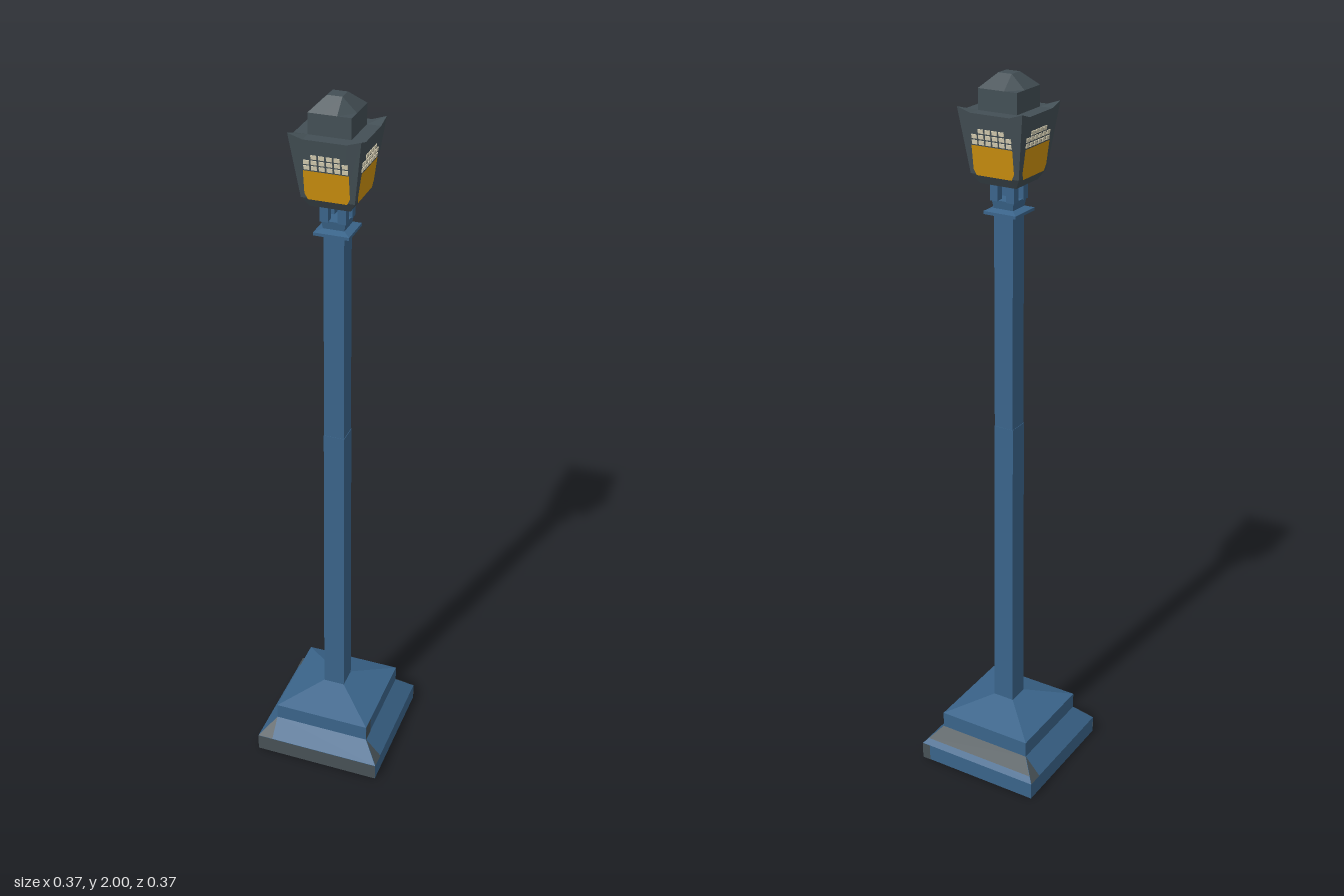
import * as THREE from 'three';

const mat = (name, color) => {
  const m = new THREE.MeshStandardMaterial({ color, flatShading: true, side: THREE.DoubleSide });
  m.name = name;
  return m;
};

export function createModel() {
  const blue = mat('blue paint', 0x3a648a);
  const worn = mat('worn metal', 0x475156);
  const dark = mat('dark iron', 0x434f55);
  const amber = mat('amber glass', 0xcf920f);
  const pale = mat('pale glass', 0xd8d0b4);

  const root = new THREE.Group();
  const add = (name, geometry, material, parent = root) => {
    const mesh = new THREE.Mesh(geometry, material);
    mesh.name = name;
    parent.add(mesh);
    return mesh;
  };
  const sideGroup = (name, angle, parent = root) => {
    const g = new THREE.Group();
    g.name = name;
    g.rotation.y = angle;
    parent.add(g);
    return g;
  };
  // Square stack from [half width, y] pairs, bottom to top
  const square = (profile) => new THREE.LatheGeometry(
    profile.map(([h, y]) => new THREE.Vector2(h * Math.SQRT2, y)), 4, Math.PI / 4);
  // Flat convex polygon from corners in order
  const polygon = (corners) => {
    const index = [];
    for (let i = 1; i < corners.length - 1; i++) index.push(0, i, i + 1);
    const g = new THREE.BufferGeometry();
    g.setAttribute('position', new THREE.Float32BufferAttribute(corners.flat(), 3));
    g.setIndex(index);
    g.computeVertexNormals();
    return g;
  };
  // Three by three cell sheet; place(column, row) returns each point
  const sheet = (rows, place) => {
    const g = new THREE.PlaneGeometry(1, 1, 3, rows - 1);
    for (let r = 0; r < rows; r++)
      for (let c = 0; c < 4; c++) g.attributes.position.setXYZ(r * 4 + c, ...place(c, r));
    g.computeVertexNormals();
    return g;
  };

  // Stepped base and tapering post
  add('base', square([[0, 0], [0.185, 0], [0.185, 0.05], [0.14, 0.1], [0.14, 0.147], [0.03, 0.19]]), blue);
  add('post', square([[0.031, 0.18], [0.029, 1.06], [0.028, 1.06], [0.0275, 1.655], [0, 1.655]]), blue);

  // Worn patches on the base
  const e = 0.001;
  const slopePatch = (points) => polygon(points.map(([x, y, z]) => [x, y + e, z + e]));
  const rectPatch = (x0, x1, y0, y1, z) =>
    polygon([[x0, y0, z + e], [x1, y0, z + e], [x1, y1, z + e], [x0, y1, z + e]]);
  const front = sideGroup('frontWear', 0);
  const right = sideGroup('leftSideWear', Math.PI / 2);
  const back = sideGroup('backWear', Math.PI);
  const left = sideGroup('rightSideWear', -Math.PI / 2);
  add('wornFrontFace', rectPatch(-0.185, 0.185, 0, 0.05, 0.185), worn, front);
  for (const g of [front, right, left])
    add('wornCorner', slopePatch([[-0.185, 0.05, 0.185], [-0.14, 0.05, 0.185], [-0.14, 0.1, 0.14]]), worn, g);
  add('wornStep', rectPatch(-0.14, -0.1, 0.1, 0.147, 0.14), worn, right);
  add('wornSlope', slopePatch([[-0.172, 0.064, 0.172], [0.172, 0.064, 0.172], [0.14, 0.1, 0.14], [-0.14, 0.1, 0.14]]), worn, back);
  add('wornEnd', rectPatch(-0.185, -0.16, 0, 0.05, 0.185), worn, back);

  // Collar and the four short struts carrying the lantern
  add('collar', square([[0, 1.65], [0.047, 1.65], [0.047, 1.658], [0.028, 1.664], [0.032, 1.686], [0, 1.686]]), blue);
  for (const x of [-1, 1])
    for (const z of [-1, 1])
      add('strut', new THREE.BoxGeometry(0.022, 0.05, 0.022), blue).position.set(x * 0.0235, 1.709, z * 0.0235);

  // Lantern body with upturned corners
  const lantern = new THREE.Group();
  lantern.name = 'lantern';
  root.add(lantern);
  add('lanternBottom', square([[0, 1.73], [0.052, 1.73], [0.069, 1.757]]), dark, lantern);
  const rim = [-0.092, -0.055, 0.055, 0.092];
  const foot = [-0.069, -0.041, 0.041, 0.069];
  const isEnd = (i) => i === 0 || i === 3;
  const tilt = Math.atan2(0.022, 0.157);
  for (let i = 0; i < 4; i++) {
    const side = sideGroup('lanternSide', i * Math.PI / 2, lantern);
    add('sidePanel', sheet(2, (c, r) => r === 0
      ? [rim[c], isEnd(c) ? 1.924 : 1.912, isEnd(c) ? 0.092 : 0.0905]
      : [foot[c], 1.757, 0.069]), dark, side);

    // Glass lying on the sloping panel
    const glass = new THREE.Group();
    glass.name = 'window';
    glass.position.set(0, 1.757, 0.069);
    glass.rotation.x = tilt;
    side.add(glass);
    add('amberPane', polygon([[-0.05, -0.002, 0.002], [0.05, -0.002, 0.002], [0.058, 0.014, 0.002],
      [0.058, 0.076, 0.002], [-0.058, 0.076, 0.002], [-0.058, 0.014, 0.002]]), amber, glass);
    for (let c = 0; c < 6; c++)
      for (let r = 0; r < 3; r++)
        if (r < 2 || (c > 0 && c < 5))
          add('paleCell', new THREE.BoxGeometry(0.0145, 0.0105, 0.002), pale, glass)
            .position.set((c - 2.5) * 0.0195, 0.084 + r * 0.0145, 0.001);
  }

  // Roof sheet, raised block and faceted cap
  add('roof', sheet(4, (c, r) => {
    const x = isEnd(c) && !isEnd(r) ? Math.sign(rim[c]) * 0.0905 : rim[c];
    const z = isEnd(r) && !isEnd(c) ? Math.sign(rim[r]) * 0.0905 : rim[r];
    return [x, isEnd(c) && isEnd(r) ? 1.924 : 1.912, z];
  }), dark, lantern);
  add('capBlock', square([[0.055, 1.91], [0.055, 1.965]]), dark, lantern);
  const cap = [-0.055, -0.019, 0.019, 0.055];
  add('cap', sheet(4, (c, r) => [cap[c], isEnd(c) || isEnd(r) ? 1.965 : 2, cap[r]]), dark, lantern);

  return root;
}
